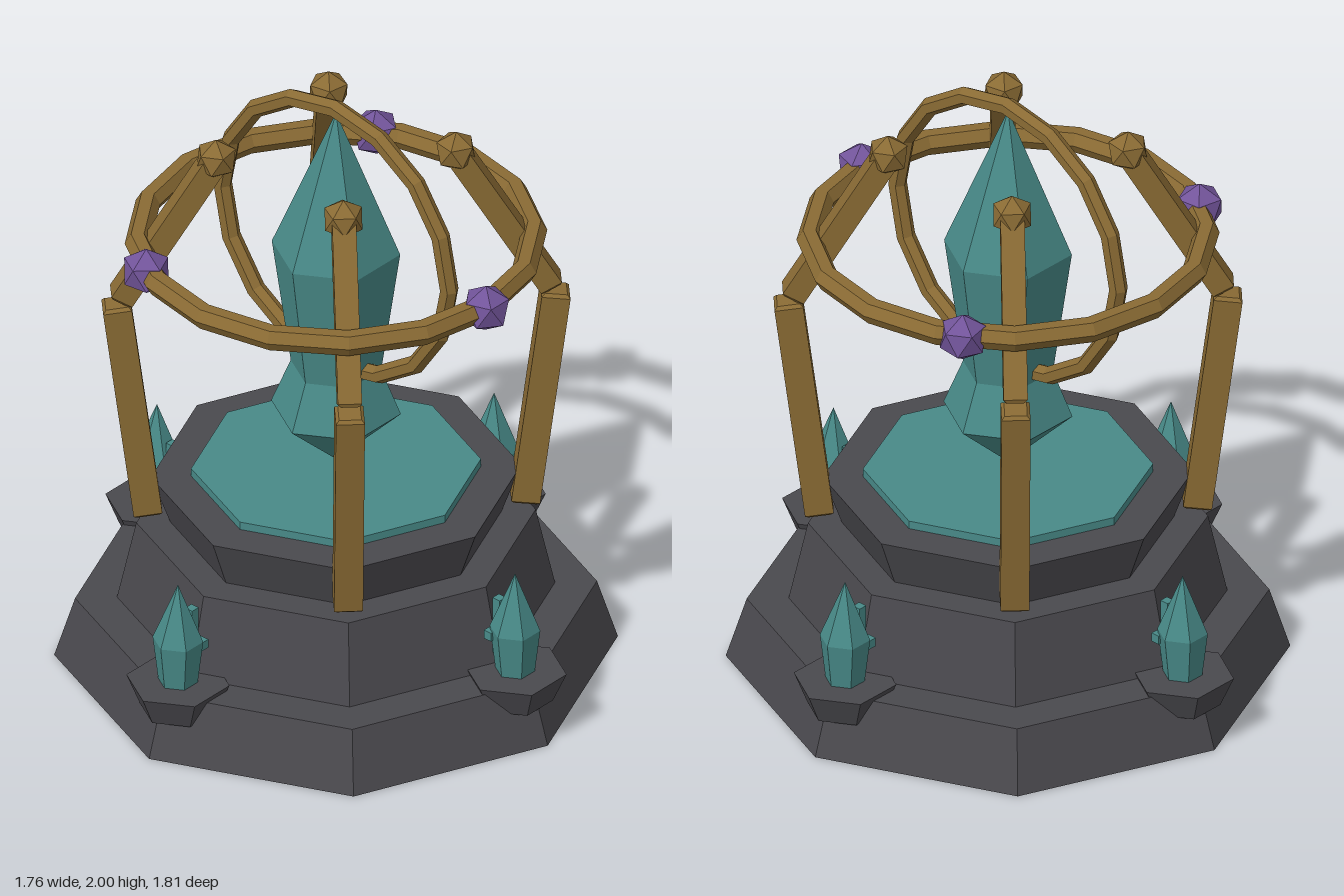
import * as THREE from 'three';

function mat(name, color) {
  const m = new THREE.MeshStandardMaterial({ color, flatShading: true });
  m.name = name;
  return m;
}

export function createModel() {
  const stone = mat('dark stone', 0x4a494e);
  const bronze = mat('bronze', 0x8a6b34);
  const teal = mat('teal crystal', 0x488a88);
  const violet = mat('violet gem', 0x72549a);

  const model = new THREE.Group();
  model.name = 'crystalShrine';

  const add = (parent, name, geometry, material, x = 0, y = 0, z = 0) => {
    const mesh = new THREE.Mesh(geometry, material);
    mesh.name = name;
    mesh.position.set(x, y, z);
    parent.add(mesh);
    return mesh;
  };

  // Tapered prism standing between two heights
  const prism = (parent, name, material, rTop, rBottom, y0, y1, sides, x = 0, z = 0) =>
    add(parent, name, new THREE.CylinderGeometry(rTop, rBottom, y1 - y0, sides), material, x, (y0 + y1) / 2, z);

  // Six-sided crystal from [radius, height] points, bottom to top
  const crystal = (parent, name, points, x = 0, z = 0) =>
    add(parent, name, new THREE.LatheGeometry(points.map(p => new THREE.Vector2(...p)), 6), teal, x, 0, z);

  // Chamfered square beam between two points in the local xy plane
  const beam = (parent, name, size, [x0, y0], [x1, y1]) => {
    const c = 0.01, h = size / 2 - c;
    const length = Math.hypot(x1 - x0, y1 - y0);
    const shape = new THREE.Shape([[-h, -h], [h, -h], [h, h], [-h, h]].map(p => new THREE.Vector2(...p)));
    const geometry = new THREE.ExtrudeGeometry(shape, {
      depth: length - 2 * c, bevelEnabled: true, bevelThickness: c, bevelSize: c, bevelSegments: 1,
    });
    geometry.translate(0, 0, c - length / 2);
    geometry.rotateX(-Math.PI / 2);
    const mesh = add(parent, name, geometry, bronze, (x0 + x1) / 2, (y0 + y1) / 2, 0);
    mesh.rotation.z = Math.atan2(x0 - x1, y1 - y0);
    return mesh;
  };

  // Stepped octagonal base with an inlaid disc
  prism(model, 'baseTier', stone, 0.81, 0.875, 0, 0.205, 8);
  prism(model, 'middleTier', stone, 0.62, 0.68, 0.205, 0.475, 8);
  prism(model, 'topTier', stone, 0.575, 0.515, 0.475, 0.64, 8);
  prism(model, 'inlaidDisc', teal, 0.45, 0.45, 0.64, 0.667, 8);

  // Floating main crystal
  crystal(model, 'mainCrystal', [[0, 0.685], [0.205, 0.875], [0.143, 1.03], [0.203, 1.46], [0, 1.955]]);

  // Brackets with small crystals and wall runes on four sides
  for (let i = 0; i < 4; i++) {
    const a = i * Math.PI / 2;
    const x = 0.74 * Math.cos(a), z = 0.74 * Math.sin(a);
    prism(model, 'bracket', stone, 0.163, 0.12, 0.125, 0.225, 6, x, z);
    crystal(model, 'smallCrystal', [[0, 0.22], [0.062, 0.22], [0.08, 0.375], [0, 0.575]], x, z);
    const rune = new THREE.Group();
    rune.name = 'wallRune';
    rune.rotation.y = -a;
    add(rune, 'runeStem', new THREE.BoxGeometry(0.03, 0.2, 0.03), teal, 0.675, 0.36, 0);
    add(rune, 'runeBar', new THREE.BoxGeometry(0.03, 0.03, 0.11), teal, 0.675, 0.345, 0);
    model.add(rune);
  }

  // Four bent arms with knobs
  for (let i = 0; i < 4; i++) {
    const arm = new THREE.Group();
    arm.name = 'arm';
    arm.rotation.y = Math.PI / 4 + i * Math.PI / 2;
    beam(arm, 'lowerArm', 0.09, [0.585, 0.52], [0.682, 1.285]);
    beam(arm, 'upperArm', 0.075, [0.672, 1.3], [0.375, 1.8]);
    const knob = add(arm, 'knob', new THREE.IcosahedronGeometry(0.068), bronze, 0.372, 1.802, 0);
    knob.rotation.z = Math.atan2(0.297, 0.5);
    model.add(arm);
  }

  // Crossing rings
  const level = add(model, 'levelRing', new THREE.TorusGeometry(0.616, 0.04, 6, 16), bronze, 0, 1.5, 0);
  level.rotation.x = Math.PI / 2;
  add(model, 'uprightRing', new THREE.TorusGeometry(0.468, 0.03, 6, 16), bronze, 0, 1.502, 0);

  // Three gems on the level ring
  for (let i = 0; i < 3; i++) {
    const a = i * Math.PI * 2 / 3;
    const gem = add(model, 'ringGem', new THREE.IcosahedronGeometry(0.08), violet,
      0.62 * Math.cos(a), 1.5, 0.62 * Math.sin(a));
    gem.rotation.set(0, -a, 0.55);
  }

  return model;
}
